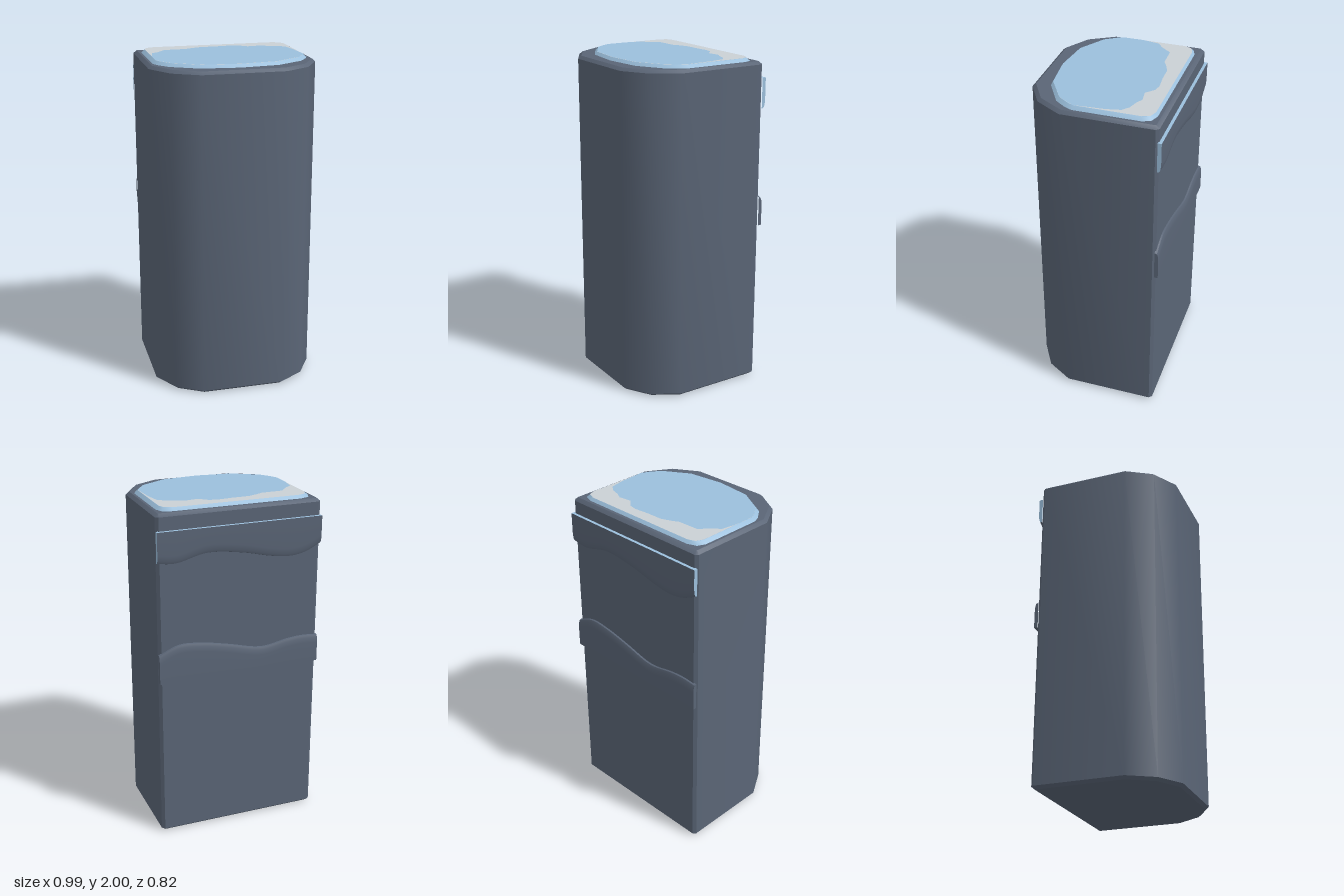
import * as THREE from 'three';
import { toCreasedNormals } from 'three/addons/utils/BufferGeometryUtils.js';

const material = (name, color) => new THREE.MeshStandardMaterial({ name, color });

// Full outline from half of it: [x, z] pairs running from the back to the front
const mirrored = (half) => [
  ...half,
  ...half.filter(([x]) => x > 0).reverse().map(([x, z]) => [-x, z]),
];
const toShape = (points) => new THREE.Shape(points.map(([x, z]) => new THREE.Vector2(x, -z)));

// Upright prism with a straight chamfer at the top and bottom
function prism(points, y0, y1, size, thickness) {
  const geometry = new THREE.ExtrudeGeometry(toShape(points), {
    depth: y1 - y0 - 2 * thickness,
    bevelEnabled: true, bevelSegments: 1,
    bevelSize: size, bevelOffset: -size, bevelThickness: thickness,
  });
  geometry.rotateX(-Math.PI / 2).translate(0, y0 + thickness, 0);
  return toCreasedNormals(geometry, 0.6);
}

// Flat painted sheet facing up
const sheet = (points, y) =>
  new THREE.ShapeGeometry(toShape(points)).rotateX(-Math.PI / 2).translate(0, y, 0);

// Band across the back: one straight edge and one rounded wavy edge.
// Group 0 is the face, group 1 the straight edge and the ends.
function wavyBand(straightY, wave) {
  const curve = new THREE.SplineCurve(wave.map(([x, y]) => new THREE.Vector2(x, y)));
  const zIn = -0.39, zOut = -0.413, count = 48;
  const dir = Math.sign(wave[0][1] - straightY);
  const sections = curve.getPoints(count).map(({ x, y }) => [
    [x, straightY, zIn],
    [x, straightY, zOut],
    [x, y - dir * 0.05, zOut],
    [x, y - dir * 0.02, zOut + 0.003],
    [x, y - dir * 0.005, zOut + 0.009],
    [x, y, zIn],
  ]);
  const face = [], edge = [];
  const tri = (list, a, b, c) => list.push(...(dir > 0 ? [a, b, c] : [a, c, b]).flat());
  for (let i = 0; i < count; i++) {
    const p = sections[i], q = sections[i + 1];
    for (let j = 0; j < 5; j++) {
      const list = j === 0 ? edge : face;
      tri(list, p[j], p[j + 1], q[j]);
      tri(list, q[j], p[j + 1], q[j + 1]);
    }
  }
  for (let j = 1; j < 5; j++) {
    const s = sections[0], e = sections[count];
    tri(edge, s[0], s[j + 1], s[j]);
    tri(edge, e[0], e[j], e[j + 1]);
  }
  const geometry = new THREE.BufferGeometry();
  geometry.setAttribute('position', new THREE.Float32BufferAttribute([...face, ...edge], 3));
  geometry.addGroup(0, face.length / 3, 0);
  geometry.addGroup(face.length / 3, edge.length / 3, 1);
  return toCreasedNormals(geometry, 0.6);
}

export function createModel() {
  const model = new THREE.Group();
  const slate = material('slate', 0x5a6576);
  const blue = material('paleBlue', 0x9bbfdc);
  const grey = material('paleGrey', 0xcad0d5);
  const add = (name, geometry, mat) => {
    const mesh = new THREE.Mesh(geometry, mat);
    mesh.name = name;
    model.add(mesh);
  };

  // Tall body, flat at the back and faceted round at the front
  const body = mirrored([
    [0.478, -0.395], [0.495, -0.378], [0.495, 0.16], [0.4, 0.318], [0.245, 0.41],
  ]);
  add('body', prism(body, 0, 1.98, 0.02, 0.017), slate);

  // Raised lid with a chamfered rim
  const lid = mirrored([
    [0.385, -0.357], [0.44, -0.337], [0.46, -0.29], [0.46, 0.1],
    [0.44, 0.145], [0.39, 0.213], [0.23, 0.305], [0, 0.332],
  ]);
  add('lid', prism(lid, 1.93, 1.998, 0.02, 0.018), blue);

  // Pale sheet on the lid, with a wavy-edged blue area over it
  const front = [[0.44, 0.09], [0.42, 0.135], [0.375, 0.2], [0.22, 0.295], [0, 0.32]];
  add('lidSheet', sheet(mirrored([
    [0.375, -0.345], [0.422, -0.328], [0.44, -0.285], ...front,
  ]), 1.999), grey);
  const ragged = [
    [-0.44, -0.03], [-0.422, -0.13], [-0.38, -0.16], [-0.33, -0.222], [-0.2, -0.226],
    [-0.16, -0.247], [-0.1, -0.27], [0, -0.272], [0.09, -0.281], [0.14, -0.272],
    [0.19, -0.226], [0.27, -0.237], [0.31, -0.215], [0.37, -0.197], [0.41, -0.165],
    [0.428, -0.08],
  ];
  add('lidBlueArea', sheet([...ragged, ...mirrored(front)], 2), blue);

  // Two wavy bands on the back
  add('upperBand', wavyBand(1.885, [
    [-0.495, 1.72], [-0.4, 1.675], [-0.3, 1.66], [-0.18, 1.675], [0, 1.715],
    [0.2, 1.735], [0.38, 1.695], [0.495, 1.705],
  ]), [slate, blue]);
  add('lowerBand', wavyBand(0.99, [
    [-0.495, 1.155], [-0.4, 1.162], [-0.3, 1.155], [-0.13, 1.13], [0.07, 1.175],
    [0.22, 1.205], [0.37, 1.215], [0.495, 1.165],
  ]), [slate, slate]);

  return model;
}
